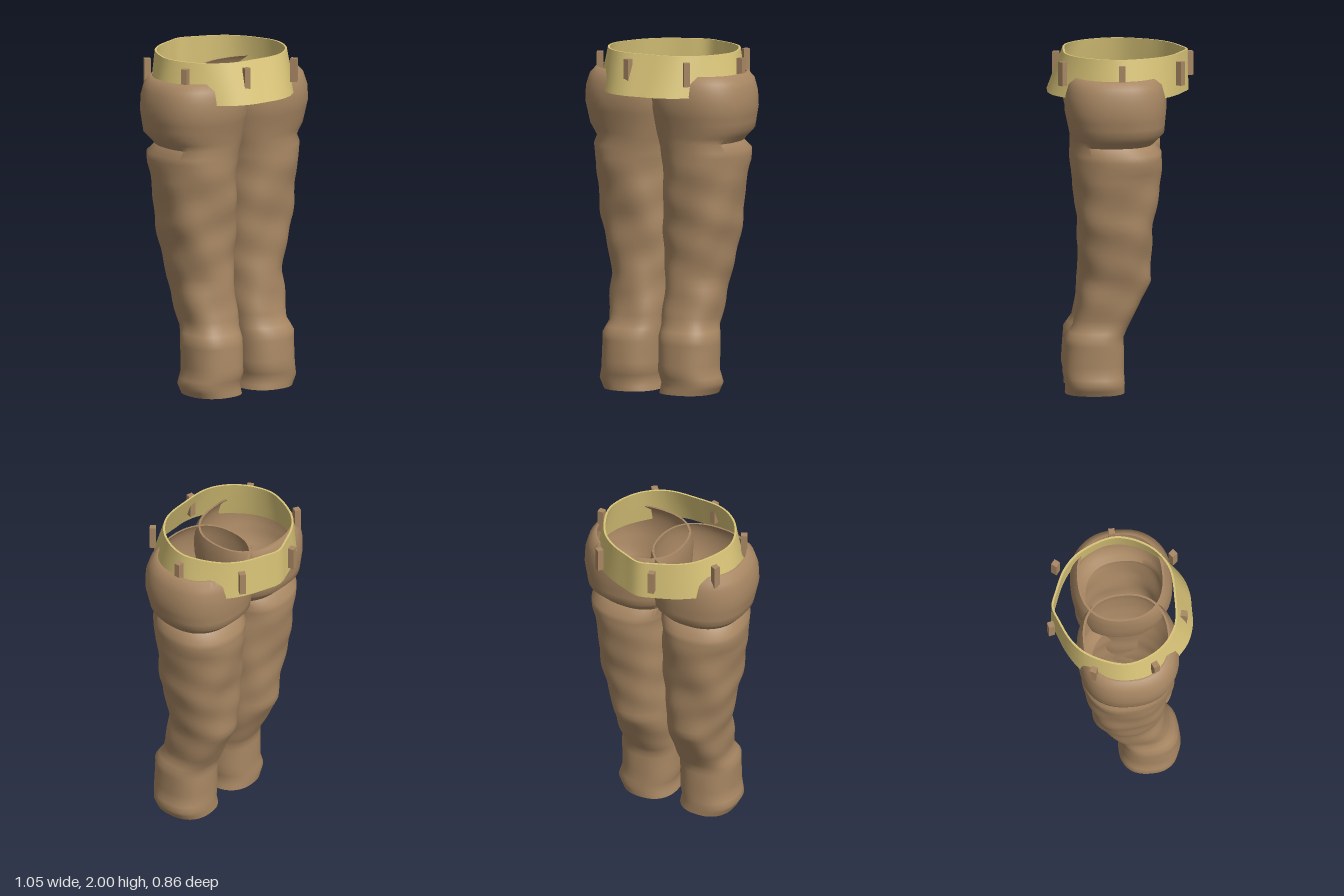
import * as THREE from 'three';
import { toCreasedNormals } from 'three/addons/utils/BufferGeometryUtils.js';

const cloth = new THREE.MeshStandardMaterial({ color: 0xa88763 });
cloth.name = 'brown cloth';
const band = new THREE.MeshStandardMaterial({ color: 0xd9c478 });
band.name = 'yellow waistband';

// Joins closed rings into a shell; the last ring connects back to the first
function shell(rings, flip) {
  const n = rings[0].length, m = rings.length, index = [];
  for (let r = 0; r < m; r++) {
    for (let i = 0; i < n; i++) {
      const j = (i + 1) % n, q = (r + 1) % m;
      const a = r * n + i, b = r * n + j, c = q * n + i, d = q * n + j;
      if (flip) index.push(a, c, b, b, c, d);
      else index.push(a, b, c, b, d, c);
    }
  }
  const g = new THREE.BufferGeometry();
  g.setAttribute('position', new THREE.Float32BufferAttribute(rings.flat(2), 3));
  g.setIndex(index);
  return toCreasedNormals(g, 0.9);
}

// Leg sections: y, inner x, outer x, back z, front z
const LEG = [
  [1.88, -0.085, 0.465, -0.225, 0.285],
  [1.84, -0.09, 0.5, -0.25, 0.315],
  [1.77, -0.09, 0.52, -0.262, 0.333],
  [1.68, -0.085, 0.525, -0.262, 0.333],
  [1.55, -0.06, 0.5, -0.25, 0.305],
  [1.48, -0.03, 0.445, -0.185, 0.293],
  [1.43, -0.02, 0.475, -0.235, 0.295],
  [1.36, -0.015, 0.475, -0.232, 0.29],
  [1.2, -0.012, 0.445, -0.22, 0.28],
  [1.0, -0.01, 0.43, -0.19, 0.258],
  [0.8, -0.005, 0.388, -0.172, 0.245],
  [0.66, 0, 0.358, -0.165, 0.245],
  [0.53, 0.008, 0.35, -0.11, 0.265],
  [0.4, 0.014, 0.338, -0.045, 0.285],
  [0.33, 0.018, 0.362, -0.015, 0.332],
  [0.13, 0.02, 0.362, -0.015, 0.345],
  [0.06, 0.035, 0.382, -0.02, 0.33],
  [0, 0.022, 0.352, -0.018, 0.33],
];

function legRing([y, xi, xo, zb, zf], side, inset) {
  const ring = [], N = 48, e = 2 / 2.35;
  const pow = (v) => Math.sign(v) * Math.abs(v) ** e;
  // Soft folds fade out at the hem and the hip
  const fold = 0.005 * Math.max(0, Math.min(1, (y - 0.2) * 3, (1.5 - y) * 6));
  for (let i = 0; i < N; i++) {
    const t = (i / N) * Math.PI * 2;
    const w = fold * (Math.sin(4 * t + 11 * y) + 0.7 * Math.sin(27 * y - 2 * t)) - inset;
    const x = (xi + xo) / 2 + ((xo - xi) / 2 + w) * pow(Math.cos(t));
    const z = (zb + zf) / 2 + ((zf - zb) / 2 + w) * pow(Math.sin(t));
    ring.push([side * x, y, z]);
  }
  return ring;
}

function legGeometry(side) {
  const rows = [];
  LEG.forEach((a, k) => {
    const b = LEG[k + 1];
    if (!b) return rows.push(a);
    const steps = Math.max(1, Math.round((a[0] - b[0]) / 0.04));
    for (let s = 0; s < steps; s++) rows.push(a.map((v, i) => v + ((b[i] - v) * s) / steps));
  });
  const outer = rows.map((r) => legRing(r, side, 0));
  const inner = rows.map((r) => legRing(r, side, 0.012)).reverse();
  return shell([...outer, ...inner], side < 0);
}

// Half outlines (x, z) of the waistband, from the front middle to the back middle
const BAND_TOP = [[0, 0.338], [0.14, 0.332], [0.22, 0.305], [0.31, 0.235], [0.375, 0.13],
  [0.402, 0.02], [0.383, -0.08], [0.31, -0.225], [0.22, -0.305], [0.1, -0.36], [0, -0.392]];
const BAND_LOW = [[0, 0.43], [0.1, 0.427], [0.2, 0.395], [0.29, 0.325], [0.41, 0.17],
  [0.45, 0.02], [0.425, -0.1], [0.335, -0.235], [0.225, -0.315], [0.1, -0.367], [0, -0.396]];

function bandOutline(half) {
  const other = half.slice(1, -1).reverse().map(([x, z]) => [-x, z]);
  const pts = [...half, ...other].map(([x, z]) => new THREE.Vector3(x, 0, z));
  return new THREE.CatmullRomCurve3(pts, true);
}

function bandGeometry() {
  const top = bandOutline(BAND_TOP), low = bandOutline(BAND_LOW), N = 80;
  const ring = (y, inset) => {
    const pts = [], k = (2 - y) / 0.24;
    for (let i = 0; i < N; i++) {
      const p = top.getPoint(i / N).lerp(low.getPoint(i / N), k);
      p.multiplyScalar(1 - inset / p.length());
      pts.push([p.x, y, p.z]);
    }
    return pts;
  };
  const ys = [2, 1.92, 1.84, 1.76];
  const outer = ys.map((y) => ring(y, 0));
  const inner = ys.map((y) => ring(y, 0.012)).reverse();
  return shell([...outer, ...inner], true);
}

export function createModel() {
  const model = new THREE.Group();
  model.name = 'trousers';
  const add = (name, geometry, material) => {
    const mesh = new THREE.Mesh(geometry, material);
    mesh.name = name;
    model.add(mesh);
    return mesh;
  };

  add('leftLeg', legGeometry(1), cloth);
  add('rightLeg', legGeometry(-1), cloth);
  add('waistband', bandGeometry(), band);

  // Seven belt loops spaced evenly around the waist
  const loop = new THREE.BoxGeometry(0.037, 0.14, 0.037);
  for (let i = 0; i < 7; i++) {
    const a = (i / 7) * Math.PI * 2;
    const mesh = add('beltLoop' + (i + 1), loop, cloth);
    mesh.position.set(0.445 * Math.cos(a), 1.9, (Math.cos(a) < 0 ? 0.415 : 0.44) * Math.sin(a));
    // The loop at the front middle sinks into the sloping band
    if (i === 2) mesh.position.z = 0.375;
    mesh.rotation.y = -a;
  }
  return model;
}
